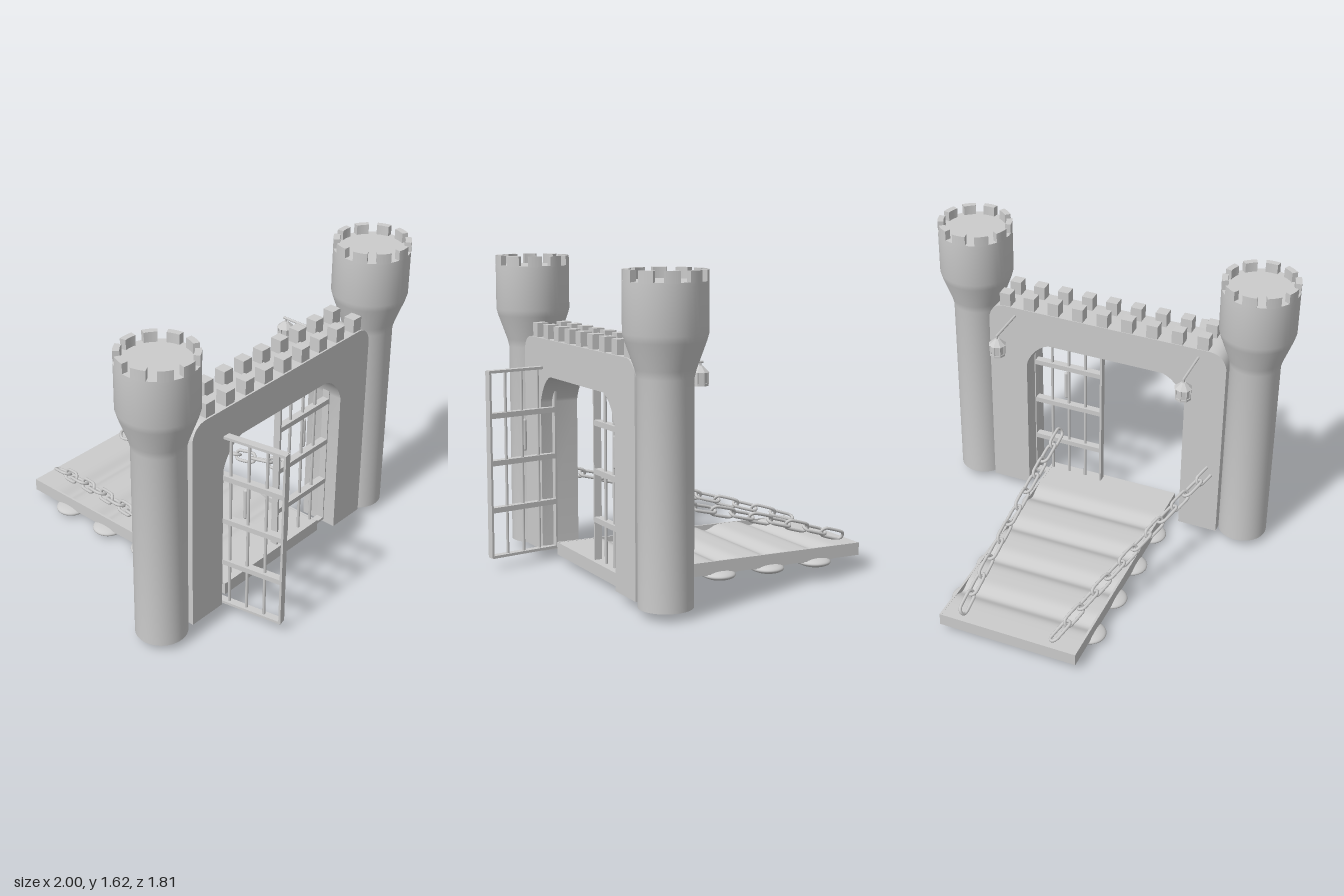
import * as THREE from 'three';
import { toCreasedNormals, mergeGeometries } from 'three/addons/utils/BufferGeometryUtils.js';

const stone = new THREE.MeshStandardMaterial({ color: 0xcccccc });

function add(parent, name, geometry, x = 0, y = 0, z = 0) {
  const mesh = new THREE.Mesh(geometry, stone);
  mesh.name = name;
  mesh.position.set(x, y, z);
  parent.add(mesh);
  return mesh;
}

// Flared round tower with a ring of curved merlons
function createTower(side) {
  const tower = new THREE.Group();
  tower.name = side > 0 ? 'leftTower' : 'rightTower';
  const profile = [[0, 0.045], [0.133, 0.045], [0.133, 1.13], [0.143, 1.17], [0.19, 1.3], [0.2, 1.335], [0.2, 1.575], [0, 1.575]]
    .map(([r, y]) => new THREE.Vector2(r, y));
  add(tower, 'towerShaft', toCreasedNormals(new THREE.LatheGeometry(profile, 48), 0.6));
  const count = 10, half = 0.19;
  for (let i = 0; i < count; i++) {
    const a = (i + 0.5) / count * Math.PI * 2;
    const shape = new THREE.Shape();
    shape.absarc(0, 0, 0.2, a - half, a + half, false);
    shape.absarc(0, 0, 0.168, a + half, a - half, true);
    shape.closePath();
    const merlon = new THREE.ExtrudeGeometry(shape, { depth: 0.057, bevelEnabled: false, curveSegments: 5 });
    merlon.rotateX(-Math.PI / 2);
    add(tower, 'towerMerlon', merlon, 0, 1.57, 0);
  }
  tower.position.set(side * 0.8, 0, 0.47);
  return tower;
}

// Gatehouse wall with rounded shoulders, arched opening and two rows of merlons
function createWall() {
  const wall = new THREE.Group();
  wall.name = 'gateWall';
  const s = new THREE.Shape();
  s.moveTo(-0.68, 0.05);
  s.lineTo(-0.46, 0.05);
  s.lineTo(-0.46, 0.86);
  s.bezierCurveTo(-0.45, 0.91, -0.40, 0.99, -0.33, 1.01);
  s.lineTo(0.33, 1.01);
  s.bezierCurveTo(0.40, 0.99, 0.45, 0.91, 0.46, 0.86);
  s.lineTo(0.46, 0.05);
  s.lineTo(0.68, 0.05);
  s.lineTo(0.68, 1.12);
  s.quadraticCurveTo(0.665, 1.2, 0.59, 1.205);
  s.lineTo(-0.59, 1.205);
  s.quadraticCurveTo(-0.665, 1.2, -0.68, 1.12);
  s.closePath();
  const body = new THREE.ExtrudeGeometry(s, { depth: 0.21, bevelEnabled: false, curveSegments: 8 });
  add(wall, 'archWall', toCreasedNormals(body, 0.6), 0, 0, 0.36);
  for (const z of [0.395, 0.53])
    for (let i = 0; i < 9; i++)
      add(wall, 'wallMerlon', new THREE.BoxGeometry(0.062, 0.08, 0.062), -0.545 + i * 0.141, 1.24, z);
  return wall;
}

// Barred gate leaf, hinged at its own origin and reaching along +x
function createGate(name) {
  const gate = new THREE.Group();
  gate.name = name;
  const width = 0.4;
  for (let i = 0; i < 5; i++) {
    const frame = i === 0 || i === 4;
    const bar = frame ? new THREE.BoxGeometry(0.012, 0.99, 0.04) : new THREE.CylinderGeometry(0.008, 0.008, 0.98, 10);
    add(gate, frame ? 'gateStile' : 'gateBar', bar, i * width / 4, 0.56, 0);
  }
  for (const y of [0.07, 0.32, 0.57, 0.82, 1.05]) {
    const end = y < 0.1 || y > 1;
    add(gate, 'gateCrossbar', new THREE.BoxGeometry(width, end ? 0.014 : 0.028, 0.04), width / 2, y, 0);
  }
  add(gate, 'gateHandle', new THREE.CapsuleGeometry(0.011, 0.15, 4, 10), width * 0.46, 0.7, 0);
  return gate;
}

// Drawbridge: wavy deck between flat rails, carried by flattened logs
function createBridge() {
  const bridge = new THREE.Group();
  bridge.name = 'drawbridge';
  const logs = [0.22, -0.07, -0.36, -0.65];
  const back = -0.91, front = 0.52, steps = 110;
  const bell = (z, offset, w) => logs.reduce((sum, c) => sum + Math.exp(-(((z - c - offset) / w) ** 2)), 0);
  const points = [];
  for (let i = 0; i <= steps; i++) {
    const z = front + (back - front) * i / steps;
    points.push(new THREE.Vector2(-z, 0.042 - 0.025 * bell(z, 0, 0.075)));
  }
  for (let i = steps; i >= 0; i--) {
    const z = front + (back - front) * i / steps;
    points.push(new THREE.Vector2(-z, 0.109 - 0.03 * bell(z, -0.02, 0.05)));
  }
  const deck = new THREE.ExtrudeGeometry(new THREE.Shape(points), { depth: 0.74, bevelEnabled: false });
  deck.translate(0, 0, -0.37).rotateY(Math.PI / 2);
  add(bridge, 'deck', toCreasedNormals(deck, 0.7));
  for (const side of [-1, 1])
    add(bridge, 'deckRail', new THREE.BoxGeometry(0.012, 0.068, front - back), side * 0.374, 0.076, (front + back) / 2);
  for (const z of logs) {
    const log = new THREE.CapsuleGeometry(0.085, 0.7, 8, 24);
    log.rotateZ(Math.PI / 2).scale(1, 0.3, 1);
    add(bridge, 'supportLog', log, 0, 0.03, z);
  }
  return bridge;
}

// Oval chain link lying along z
function createLink() {
  const path = new THREE.CurvePath();
  const half = 0.043, r = 0.026, pts = [];
  for (let i = 0; i < 24; i++) {
    const a = (i + 0.5) / 24 * Math.PI * 2;
    pts.push(new THREE.Vector3(Math.cos(a) * r, 0, Math.sin(a) * r + Math.sign(Math.sin(a)) * half));
  }
  return new THREE.TubeGeometry(new THREE.CatmullRomCurve3(pts, true), 40, 0.0085, 8, true);
}

// Chain of links rolled alternately about a gently bowed line
function createChain(name, start, end) {
  const chain = new THREE.Group();
  chain.name = name;
  const middle = start.clone().lerp(end, 0.45);
  middle.y += 0.035;
  const curve = new THREE.QuadraticBezierCurve3(start, middle, end);
  const count = Math.round(curve.getLength() / 0.114);
  const link = createLink();
  for (let i = 0; i < count; i++) {
    const t = (i + 0.5) / count;
    const mesh = add(chain, 'chainLink', link);
    mesh.position.copy(curve.getPointAt(t));
    mesh.lookAt(mesh.position.clone().add(curve.getTangentAt(t)));
    mesh.rotateZ(i % 2 ? 0.45 : 0.45 + Math.PI / 2);
  }
  return chain;
}

// Lantern hanging from a rod behind the wall
function createLantern(side) {
  const lantern = new THREE.Group();
  lantern.name = side > 0 ? 'leftLantern' : 'rightLantern';
  add(lantern, 'lanternRod', new THREE.CylinderGeometry(0.007, 0.007, 0.25, 8).rotateX(Math.PI / 2), 0, 1.156, 0.25);
  const cage = [
    new THREE.CylinderGeometry(0.012, 0.048, 0.032, 8).translate(0, 1.122, 0),
    new THREE.CylinderGeometry(0.038, 0.038, 0.06, 8).translate(0, 1.08, 0),
    new THREE.CylinderGeometry(0.043, 0.043, 0.012, 8).translate(0, 1.046, 0),
    new THREE.CylinderGeometry(0.006, 0.006, 0.025, 8).translate(0, 1.146, 0)
  ];
  for (let i = 0; i < 8; i++) {
    const a = i / 8 * Math.PI * 2;
    cage.push(new THREE.BoxGeometry(0.007, 0.06, 0.007).translate(Math.sin(a) * 0.039, 1.08, Math.cos(a) * 0.039));
  }
  add(lantern, 'lanternCage', toCreasedNormals(mergeGeometries(cage), 0.5), 0, 0, 0.14);
  lantern.position.x = side * 0.525;
  return lantern;
}

export function createModel() {
  const model = new THREE.Group();
  model.name = 'castleGate';
  model.add(createWall(), createBridge());
  for (const side of [-1, 1]) model.add(createTower(side), createLantern(side));

  // One leaf swung outward, the other closed
  const openGate = createGate('openGate');
  openGate.position.set(-0.455, 0, 0.5);
  openGate.rotation.y = -Math.atan2(0.4, 0.075);
  const closedGate = createGate('closedGate');
  closedGate.position.set(0.46, 0, 0.48);
  closedGate.rotation.y = Math.PI;
  model.add(openGate, closedGate);

  model.add(
    createChain('rightChain', new THREE.Vector3(-0.625, 0.45, 0.38), new THREE.Vector3(-0.24, 0.13, -0.865)),
    createChain('leftChain', new THREE.Vector3(0.27, 0.45, 0.38), new THREE.Vector3(0.27, 0.13, -0.865))
  );
  return model;
}
